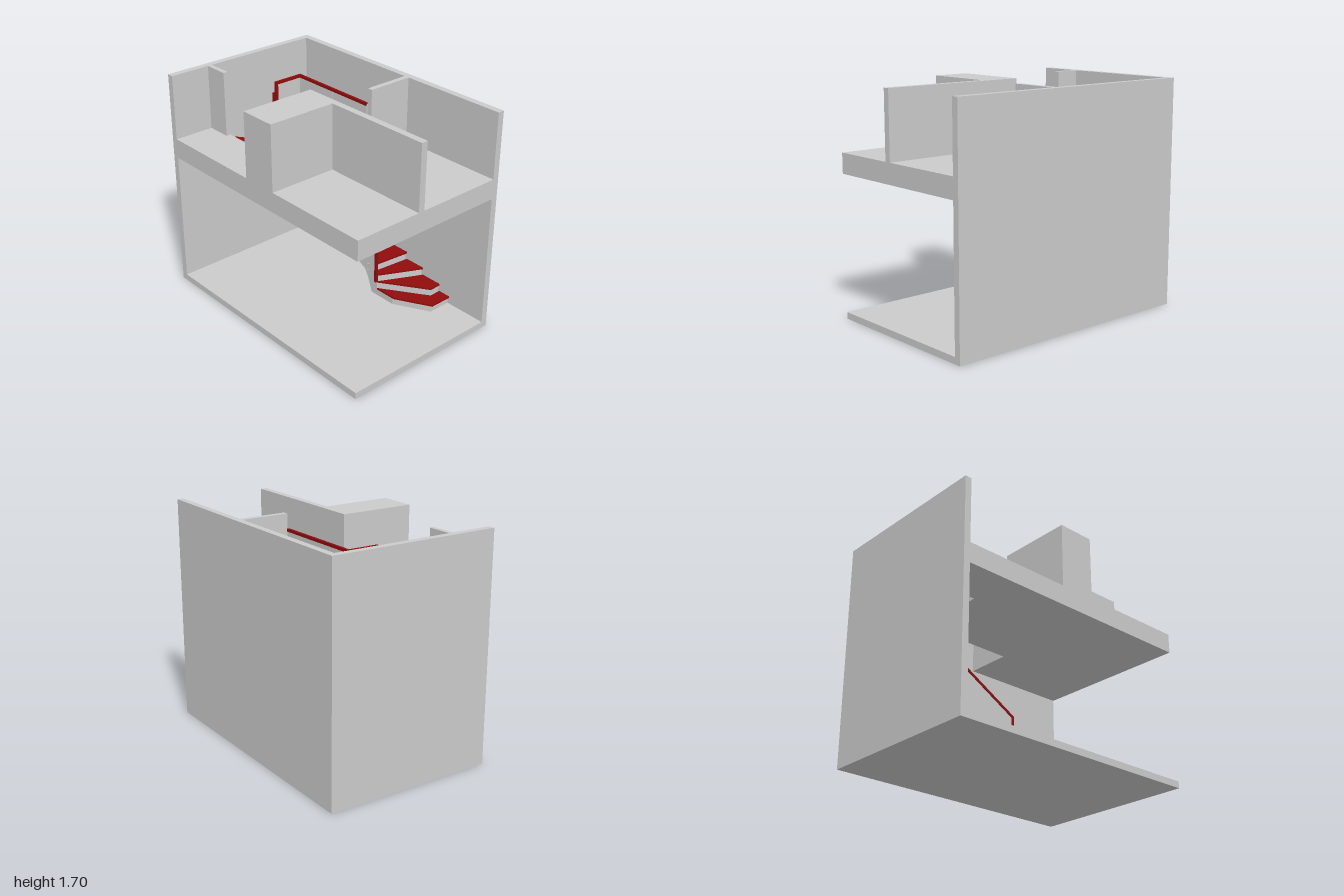
import * as THREE from 'three';

const grey = new THREE.MeshStandardMaterial({ color: 0xcccccc });
const greyThin = new THREE.MeshStandardMaterial({ color: 0xcccccc, side: THREE.DoubleSide });
const red = new THREE.MeshStandardMaterial({ color: 0x900c0c });

const FLOOR = 0.05, UPPER = 1.21, TOP = 1.7, STEPS = 19, TREAD = 0.013;
const rise = (UPPER - FLOOR) / STEPS;
const treadY = k => FLOOR + rise * k;
const soffitY = k => treadY(k) - 0.12;

export function createModel() {
  const model = new THREE.Group();
  const add = (name, geometry, material, parent = model) => {
    const mesh = new THREE.Mesh(geometry, material);
    mesh.name = name;
    parent.add(mesh);
    return mesh;
  };
  const group = name => {
    const g = new THREE.Group();
    g.name = name;
    model.add(g);
    return g;
  };
  // Box given by its limits
  const box = (name, x0, x1, y0, y1, z0, z1, material = grey, parent = model) =>
    add(name, new THREE.BoxGeometry(x1 - x0, y1 - y0, z1 - z0), material, parent)
      .position.set((x0 + x1) / 2, (y0 + y1) / 2, (z0 + z1) / 2);
  // Square bar between two points
  const bar = (name, p, q, parent, size = 0.02) => {
    const a = new THREE.Vector3(...p), b = new THREE.Vector3(...q);
    const mesh = add(name, new THREE.BoxGeometry(size, size, a.distanceTo(b) + size * 0.9), red, parent);
    mesh.position.copy(a).lerp(b, 0.5);
    mesh.lookAt(b);
  };

  // Room shell
  box('groundFloor', -1, 1, 0, FLOOR, -0.645, 0.645);
  box('backWall', -1, 1, FLOOR, TOP, -0.645, -0.595);
  box('sideWall', -1, -0.95, FLOOR, TOP, -0.595, 0.645);
  add('upperFloor', prism([[1, 0.645], [1, -0.595], [0.13, -0.595], [0.13, -0.24], [-0.605, -0.24],
    [-0.605, -0.03], [-0.62, -0.03], [-0.62, 0.3], [-0.95, 0.3], [-0.95, 0.645]], UPPER, 1.06), grey);

  // Upper storey walls
  box('landingWall', -0.95, -0.76, UPPER, TOP, 0.3, 0.335);
  box('stairwellEndWall', 0.13, 0.17, UPPER, TOP, -0.595, -0.24);
  box('partitionWall', 0.17, 1, UPPER, TOP, 0.07, 0.12);
  box('wallBlock', -0.115, 0.17, UPPER, TOP, 0.07, 0.645);

  // Front edge of every step in plan, from the inner side to the outer side
  const I = -0.272, O = -0.595, L = -0.95, N = -0.625;
  const edges = [null,
    [[0.24, I], [0.415, I], [0.675, -0.415], [0.675, O]],
    [[0.235, I], [0.25, -0.28], [0.575, -0.5], [0.575, O]],
    [[0.24, I], [0.4, O]],
    [[0.19, I], [0.225, O]]];
  for (let k = 5; k <= 8; k++) edges.push([[0.085 - 0.104 * (k - 5), I], [0.085 - 0.104 * (k - 5), O]]);
  edges.push(
    [[-0.335, I], [-0.33, O]], [[-0.41, I], [-0.455, O]], [[-0.485, I], [-0.565, O]],
    [[-0.555, I], [-0.727, O]], [[-0.615, I], [L, -0.56]], [[N, -0.25], [L, -0.37]],
    [[N, -0.19], [L, -0.215]], [[N, -0.125], [L, -0.065]], [[N, -0.085], [L, 0.155]],
    [[N, -0.03], [-0.8, 0.3]], [[-0.62, -0.03], [-0.62, 0.3]]);
  const corners = { 12: [L, O], 17: [L, 0.3] };
  const mix = (a, b, t) => a.map((v, i) => v + (b[i] - v) * t);

  // Riser faces sit a little behind the tread noses
  const risers = edges.map((e, k) => {
    if (!e || k === STEPS) return e;
    return k >= 3 ? e.map((p, i) => mix(p, edges[k + 1][i], 0.1)) : e.map(([x, z]) => [x - 0.012, z]);
  });
  const outline = (lines, k) =>
    [...lines[k], ...(corners[k] ? [corners[k]] : []), ...[...lines[k + 1]].reverse()];

  const stairs = group('staircase');
  const sections = [];
  for (let k = 1; k < STEPS; k++) {
    const top = treadY(k) - TREAD;
    add('tread', prism(outline(edges, k), treadY(k), top), red, stairs);
    if (k < 4) {
      add('stepBody', prism(outline(risers, k), top, FLOOR), grey, stairs);
      continue;
    }
    // The underside rises from the floor in a curve, then follows the flight
    const slices = k === 4 ? 6 : 1;
    for (let s = 0; s < slices; s++) {
      const at = t => risers[k].map((p, i) => mix(p, risers[k + 1][i], t));
      const height = t => k === 4
        ? FLOOR + (soffitY(5) - FLOOR) * Math.sin(t * Math.PI / 2) : soffitY(k + t);
      const t0 = s / slices, t1 = (s + 1) / slices;
      const [a, b] = at(t0), [c, d] = at(t1);
      const bend = corners[k];
      add('stepBody', prism(bend ? [a, b, bend, d, c] : [a, b, d, c], top,
        bend ? [height(0), height(0), height(0.5), height(1), height(1)]
          : [height(t0), height(t0), height(t1), height(t1)], false), grey, stairs);
      sections.push([a, b, height(t0)]);
      if (bend) sections.push([mix(a, c, 0.5), bend, height(0.5)]);
      if (k === STEPS - 1) sections.push([c, d, height(1)]);
    }
  }
  box('topTread', -0.62, -0.51, UPPER - 0.01, UPPER + 0.003, -0.03, 0.3, red, stairs);

  // Smooth underside of the flight
  const pos = [], index = [];
  sections.forEach(([a, b, y], i) => {
    pos.push(a[0], y, a[1], b[0], y, b[1]);
    const n = i * 2;
    if (i) index.push(n - 2, n - 1, n, n - 1, n + 1, n);
  });
  const soffit = new THREE.BufferGeometry();
  soffit.setAttribute('position', new THREE.Float32BufferAttribute(pos, 3));
  soffit.setIndex(index);
  soffit.computeVertexNormals();
  add('soffit', soffit, greyThin, stairs);

  // Stair handrail with its newel and end post
  const rail = group('stairRail');
  const zr = -0.26, xr = -0.62;
  bar('newelPost', [0.235, 0.18, zr], [0.235, 0.6, zr], rail);
  bar('handrail', [0.235, 0.6, zr], [xr, 1.09, zr], rail);
  bar('handrail', [xr, 1.09, zr], [xr, 1.49, -0.01], rail);
  bar('endPost', [xr, 1.49, -0.01], [xr, 1.21, -0.01], rail);

  // Infill panels below the handrail, with a narrow joint
  const panel = (points, parent) => {
    const shape = new THREE.Shape(points.map(p => new THREE.Vector2(...p)));
    const geometry = new THREE.ExtrudeGeometry(shape, { depth: 0.008, bevelEnabled: false });
    return add('infillPanel', geometry.translate(0, 0, -0.004), grey, parent);
  };
  const railAt = x => 0.6 + (0.235 - x) * 0.573, footAt = x => 0.175 + (0.235 - x) * 0.565;
  for (const [x0, x1] of [[-0.615, -0.233], [-0.23, 0.235]]) {
    panel([[x0, footAt(x0)], [x1, footAt(x1)], [x1, railAt(x1)], [x0, railAt(x0)]], rail).position.z = zr;
  }
  const side = panel([[0.01, 1.05], [0.26, 0.73], [0.26, 1.09], [0.01, 1.49]], rail);
  side.rotation.y = Math.PI / 2;
  side.position.x = xr + 0.002;

  // Panel fixings
  for (const x of [0.15, -0.16, -0.26, -0.575]) {
    for (const up of [0.02, 0.07]) {
      const pin = add('panelFixing', new THREE.CylinderGeometry(0.006, 0.006, 0.02, 10), grey, rail);
      pin.rotation.x = Math.PI / 2;
      pin.position.set(x, footAt(x) + up, zr);
    }
  }

  // Guard rail around the stairwell
  const guard = group('stairwellGuard');
  const zg = -0.235, xg = -0.595, yg = 1.583;
  bar('guardPost', [xg, UPPER + 0.01, -0.01], [xg, yg, -0.01], guard);
  bar('guardRail', [xg, yg, -0.01], [xg, yg, zg], guard);
  bar('guardRail', [xg, yg, zg], [0.12, yg, zg], guard);
  box('guardPanel', xg, -0.233, 1.25, yg, zg - 0.004, zg + 0.004, grey, guard);
  box('guardPanel', -0.23, 0.13, 1.25, yg, zg - 0.004, zg + 0.004, grey, guard);
  box('guardPanel', xg - 0.004, xg + 0.004, 1.25, yg, zg, -0.01, grey, guard);
  for (const x of [xg, -0.24, -0.22, 0.12]) {
    box('panelFoot', x - 0.005, x + 0.005, UPPER, 1.27, zg - 0.006, zg + 0.006, grey, guard);
  }
  return model;
}

// Upright solid over a plan outline; the bottom may have one height per corner
function prism(plan, top, bottom, closed = true) {
  let pts = plan.map(([x, z], i) => ({ v: new THREE.Vector2(x, z), y: Array.isArray(bottom) ? bottom[i] : bottom }));
  if (THREE.ShapeUtils.area(pts.map(p => p.v)) > 0) pts = pts.reverse();
  const out = [];
  const hi = p => [p.v.x, top, p.v.y], lo = p => [p.v.x, p.y, p.v.y];
  for (const face of THREE.ShapeUtils.triangulateShape(pts.map(p => p.v), [])) {
    let [a, b, c] = face.map(i => pts[i]);
    if (THREE.ShapeUtils.area([a.v, b.v, c.v]) > 0) [b, c] = [c, b];
    out.push(...hi(a), ...hi(b), ...hi(c));
    if (closed) out.push(...lo(a), ...lo(c), ...lo(b));
  }
  pts.forEach((p, i) => {
    const q = pts[(i + 1) % pts.length];
    out.push(...lo(p), ...lo(q), ...hi(q), ...lo(p), ...hi(q), ...hi(p));
  });
  const geometry = new THREE.BufferGeometry();
  geometry.setAttribute('position', new THREE.Float32BufferAttribute(out, 3));
  geometry.computeVertexNormals();
  return geometry;
}
